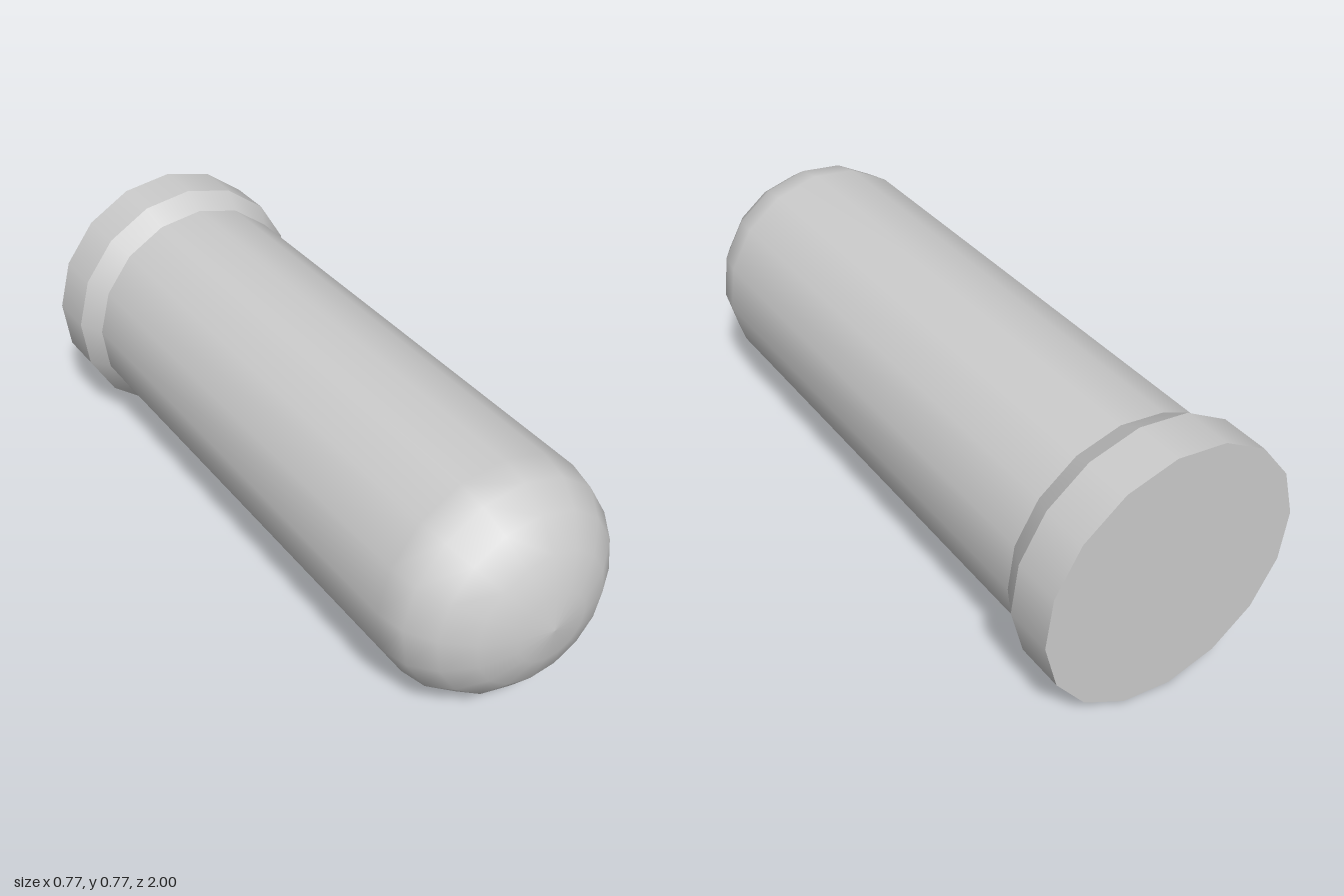
import * as THREE from 'three';

const SIDES = 16;
const TWIST = -0.075; // slight roll of the 16-sided section
const BODY_R = 0.347, RIM_R = 0.387;
const NECK_Z = -0.79, RIM_Z = -0.86, BACK_Z = -1, DOME_Z = 0.73;

const material = new THREE.MeshStandardMaterial({ color: 0xcccccc });

// Turns a [radius, z] profile, listed back to front, about the z axis
function turned(name, profile) {
  const points = profile.map(([r, z]) => new THREE.Vector2(r, z));
  const geometry = new THREE.LatheGeometry(points, SIDES, TWIST, Math.PI * 2);
  geometry.rotateX(Math.PI / 2);
  const mesh = new THREE.Mesh(geometry, material);
  mesh.name = name;
  return mesh;
}

export function createModel() {
  const model = new THREE.Group();
  model.name = 'roundNosedCapsule';

  // Straight body running smoothly into a flattened dome of five rings
  const body = [[BODY_R, NECK_Z], [BODY_R, DOME_Z]];
  for (let i = 1; i <= 5; i++) {
    const a = (i / 5) * Math.PI / 2;
    body.push([i === 5 ? 0 : BODY_R * Math.cos(a), DOME_Z + (1 - DOME_Z) * Math.sin(a)]);
  }
  model.add(turned('bodyAndNose', body));

  // Wider collar at the back; separate bands keep its edges sharp
  model.add(turned('collarBevel', [[RIM_R, RIM_Z], [BODY_R, NECK_Z]]));
  model.add(turned('collarRim', [[RIM_R, BACK_Z], [RIM_R, RIM_Z]]));
  model.add(turned('backCap', [[0, BACK_Z], [RIM_R, BACK_Z]]));

  // Rest the lowest corner on the ground
  model.position.y = RIM_R * Math.cos(TWIST);
  return model;
}
